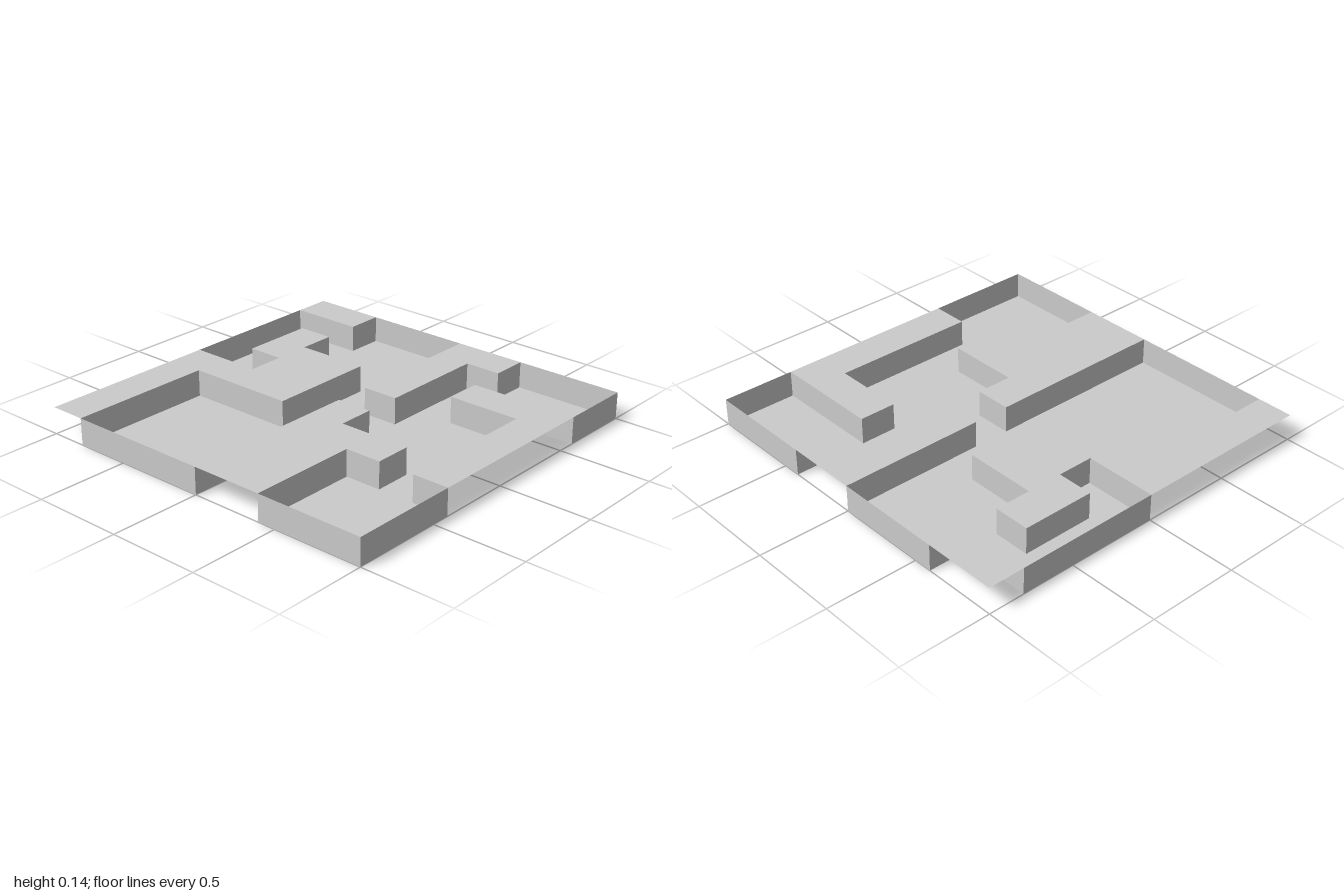
import * as THREE from 'three';

const CELL = 0.2, HEIGHT = 0.145;

// Outline of the sunken floor in grid cells [x, z]; it touches all four sides
const OUTLINE = [
  [-5, -4], [-1, -4], [-1, -1], [2, -1], [2, -3], [3, -3], [3, -4], [1, -4], [1, -3], [0, -3], [0, -5],
  [4, -5], [4, -3], [5, -3],
  [5, 0], [1, 0], [1, 1], [4, 1], [4, 2], [5, 2],
  [5, 5],
  [3, 5], [3, 2], [2, 2], [2, 4], [-2, 4], [-2, 5],
  [-5, 5],
  [-5, 2], [-2, 2], [-2, 3], [-1, 3], [-1, 1], [0, 1], [0, 0], [-5, 0],
];

// Raised plateaus share stretches of the floor outline, closed by the border
const PLATEAUS = {
  backPlateau: [...OUTLINE.slice(0, 11), [-5, -5]],
  cornerPlateau: [...OUTLINE.slice(11, 14), [5, -5]],
  rightPlateau: OUTLINE.slice(14, 20),
  frontPlateau: OUTLINE.slice(21, 27),
  leftPlateau: OUTLINE.slice(28),
};

export function createModel() {
  const group = new THREE.Group();
  group.name = 'mazeTile';
  const material = new THREE.MeshStandardMaterial({
    color: 0xcccccc, flatShading: true, side: THREE.DoubleSide,
  });

  const add = (name, geometry) => {
    const mesh = new THREE.Mesh(geometry, material);
    mesh.name = name;
    group.add(mesh);
  };

  // Flat horizontal sheet, facing up, at height y
  const sheet = (points, y) => {
    const shape = new THREE.Shape(points.map(([x, z]) => new THREE.Vector2(x * CELL, -z * CELL)));
    return new THREE.ShapeGeometry(shape).rotateX(-Math.PI / 2).translate(0, y, 0);
  };

  add('floor', sheet(OUTLINE, 0));
  for (const [name, points] of Object.entries(PLATEAUS)) add(name, sheet(points, HEIGHT));

  // One upright wall along each edge of the floor, facing into the sunken area
  const positions = [];
  OUTLINE.forEach(([ax, az], i) => {
    const [bx, bz] = OUTLINE[(i + 1) % OUTLINE.length];
    const a = [ax * CELL, 0, az * CELL], b = [bx * CELL, 0, bz * CELL];
    const aTop = [a[0], HEIGHT, a[2]], bTop = [b[0], HEIGHT, b[2]];
    positions.push(...a, ...b, ...bTop, ...a, ...bTop, ...aTop);
  });
  const walls = new THREE.BufferGeometry();
  walls.setAttribute('position', new THREE.Float32BufferAttribute(positions, 3));
  walls.computeVertexNormals();
  add('walls', walls);

  return group;
}
